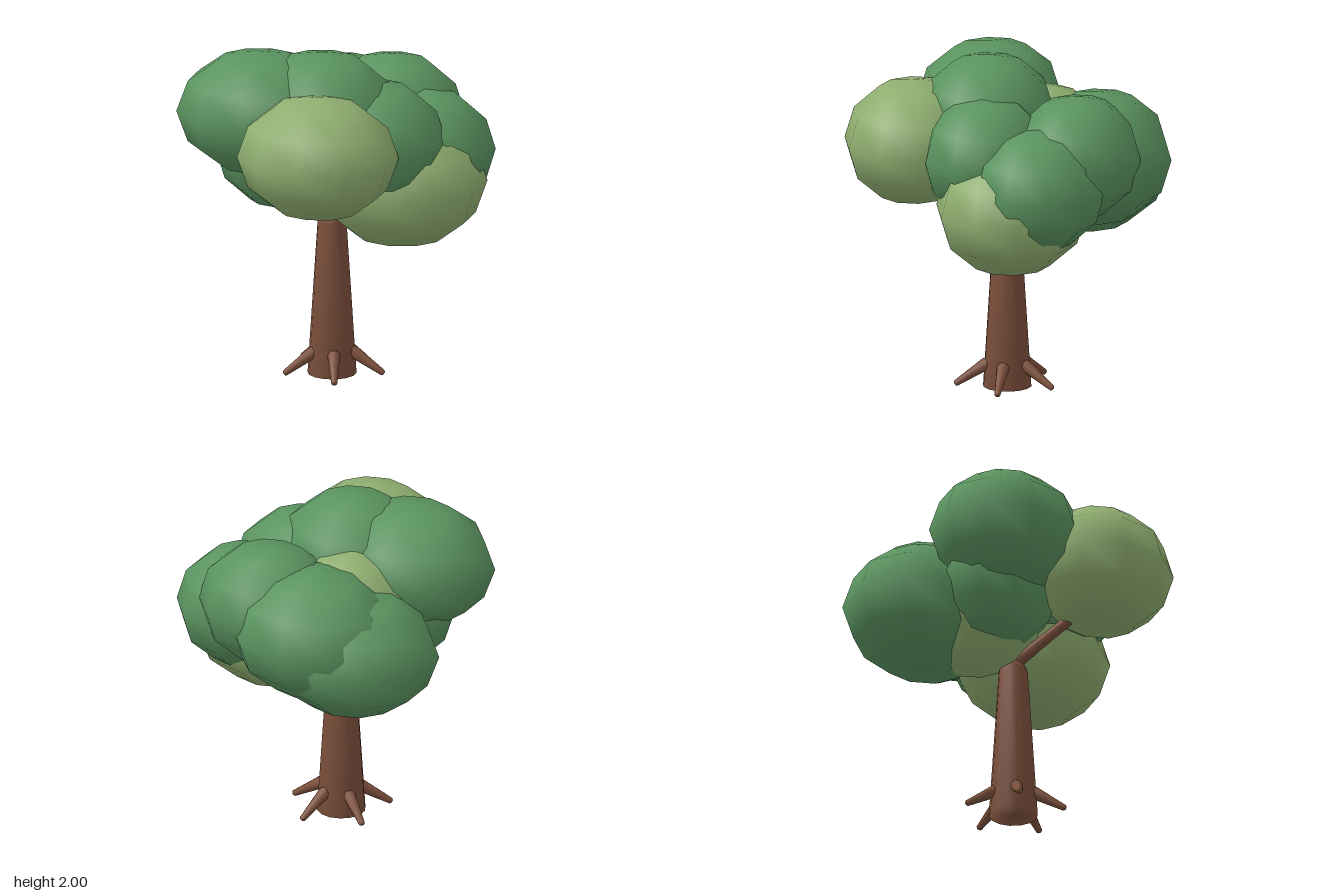
import * as THREE from 'three';

const mat = (name, color) => {
  const m = new THREE.MeshStandardMaterial({ color });
  m.name = name;
  return m;
};

export function createModel() {
  const tree = new THREE.Group();
  tree.name = 'tree';
  const darkLeaf = mat('dark leaf green', 0x5a935f);
  const lightLeaf = mat('light leaf green', 0x8fae70);
  const bark = mat('bark brown', 0x7d503c);

  const add = (geo, material, name, parent = tree) => {
    const mesh = new THREE.Mesh(geo, material);
    mesh.name = name;
    parent.add(mesh);
    return mesh;
  };

  // Tapered limb between two points, with a rounded start
  const limb = (from, to, r0, r1, name) => {
    const a = new THREE.Vector3(...from), b = new THREE.Vector3(...to);
    const dir = b.clone().sub(a), len = dir.length();
    const profile = [[0, -r0 * 0.8], [r0 * 0.65, -r0 * 0.6], [r0, 0], [r1, len - r1 * 0.4], [r1 * 0.6, len], [0, len]]
      .map(([x, y]) => new THREE.Vector2(x, y));
    const mesh = add(new THREE.LatheGeometry(profile, 10), bark, name);
    mesh.position.copy(a);
    mesh.quaternion.setFromUnitVectors(new THREE.Vector3(0, 1, 0), dir.normalize());
  };

  // Trunk with a rounded top and softly shaded base
  const trunk = add(new THREE.LatheGeometry(
    [[0, 0], [0.144, 0], [0.085, 0.93], [0.06, 0.98], [0, 1.0]]
      .map(([x, y]) => new THREE.Vector2(x, y)), 14), bark, 'trunk');
  trunk.position.x = -0.01;

  // Five roots spread evenly around the base
  for (let i = 0; i < 5; i++) {
    const t = i * Math.PI * 2 / 5, c = Math.cos(t), s = Math.sin(t);
    limb([0.12 * c, 0.14, 0.12 * s], [0.308 * c, 0.022, 0.308 * s], 0.038, 0.018, 'root');
  }

  // Branch reaching forward into the foliage
  limb([-0.015, 0.98, 0.02], [-0.015, 1.2, 0.42], 0.036, 0.03, 'frontBranch');

  // Foliage clumps: name, material, centre, radii
  const leafGeo = new THREE.SphereGeometry(1, 10, 6).rotateY(Math.PI / 2);
  const foliage = new THREE.Group();
  foliage.name = 'foliage';
  tree.add(foliage);
  [
    ['frontClump', lightLeaf, [0.07, 1.485, 0.535], [0.48, 0.372, 0.42]],
    ['lowerLeftClump', lightLeaf, [0.375, 1.19, -0.1], [0.52, 0.395, 0.45]],
    ['coreClump', lightLeaf, [-0.19, 1.345, -0.16], [0.41, 0.455, 0.44]],
    ['upperRightClump', darkLeaf, [-0.39, 1.615, 0.17], [0.505, 0.37, 0.44]],
    ['topClump', darkLeaf, [-0.03, 1.63, 0.12], [0.45, 0.37, 0.41]],
    ['leftClump', darkLeaf, [0.265, 1.47, 0.075], [0.435, 0.37, 0.385]],
    ['leftRearClump', darkLeaf, [0.48, 1.335, -0.275], [0.41, 0.365, 0.4]],
    ['upperRearClump', darkLeaf, [0.22, 1.475, -0.455], [0.43, 0.37, 0.385]],
    ['rearClump', darkLeaf, [-0.11, 1.39, -0.515], [0.52, 0.395, 0.445]],
    ['lowerRearClump', darkLeaf, [-0.31, 1.28, -0.425], [0.53, 0.385, 0.47]],
    ['innerClump', darkLeaf, [-0.28, 1.35, 0.05], [0.42, 0.35, 0.32]],
  ].forEach(([name, material, centre, radii]) => {
    const clump = add(leafGeo, material, name, foliage);
    clump.position.set(...centre);
    clump.scale.set(...radii);
  });

  return tree;
}
